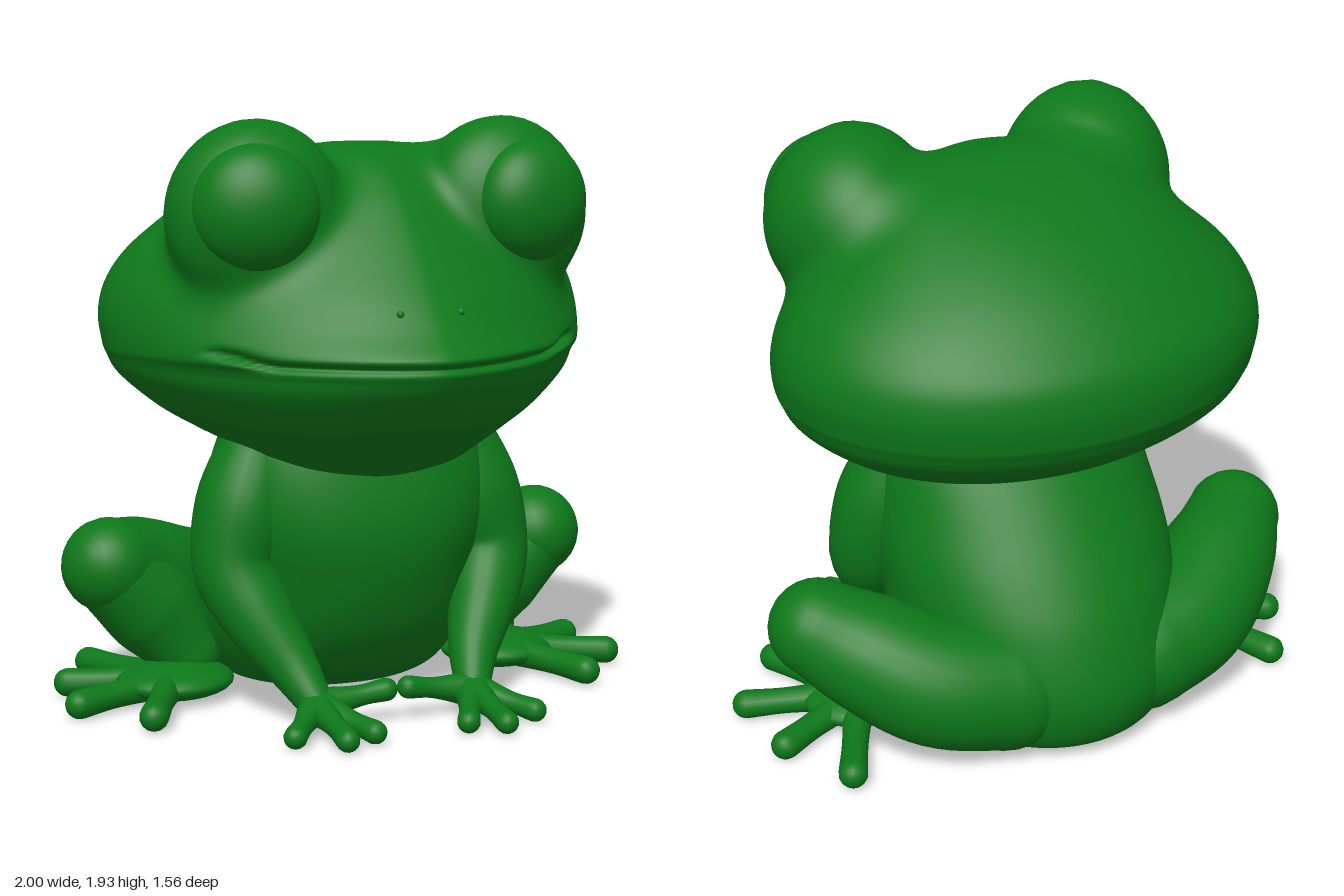
import * as THREE from 'three';

const green = new THREE.MeshStandardMaterial({ color: 0x0d781a });
const V = (x, y, z) => new THREE.Vector3(x, y, z);

// Joins a stack of closed loops into one smooth skin, closing both ends
function skin(rings) {
  const mid = (r) => r.reduce((s, p) => s.add(p), V(0, 0, 0)).divideScalar(r.length);
  const closed = (r) => { const m = mid(r); return r.map(() => m); };
  const all = [closed(rings[0]), ...rings, closed(rings[rings.length - 1])];
  const n = rings[0].length, pos = [], idx = [];
  all.forEach((r) => r.forEach((p) => pos.push(p.x, p.y, p.z)));
  for (let j = 0; j < all.length - 1; j++) {
    for (let i = 0; i < n; i++) {
      const k = (i + 1) % n, a = j * n + i, b = j * n + k;
      idx.push(a, b, b + n, a, b + n, a + n);
    }
  }
  const g = new THREE.BufferGeometry();
  g.setAttribute('position', new THREE.Float32BufferAttribute(pos, 3));
  g.setIndex(idx);
  g.computeVertexNormals();
  return g;
}

// Horizontal loops from rows of [y, halfWidth, zFront, zBack, zWidest]
function loft(rows, power, steps, n, rule = () => {}) {
  const size = new THREE.CatmullRomCurve3(rows.map((r) => V(r[1], r[2], r[3])), false, 'catmullrom');
  const place = new THREE.CatmullRomCurve3(rows.map((r) => V(r[0], r[4], 0)), false, 'catmullrom');
  const count = (rows.length - 1) * steps, rings = [];
  for (let j = 0; j <= count; j++) {
    const s = size.getPoint(j / count), q = place.getPoint(j / count), ring = [];
    for (let i = 0; i < n; i++) {
      const t = (i / n) * Math.PI * 2, c = Math.cos(t), sn = Math.sin(t);
      const e = c > 0 ? 2 / power(q.x) : 1;
      const x = s.x * Math.sign(sn) * Math.abs(sn) ** e;
      const z = q.y + (c > 0 ? (s.y - q.y) * c ** e : (q.y - s.z) * c);
      const p = V(x, q.x, z);
      rule(p);
      ring.push(p);
    }
    rings.push(ring);
  }
  return skin(rings);
}

// Round-ended limb of changing thickness along a smooth path
function limb(points, radii, steps = 20, n = 20) {
  const curve = new THREE.CatmullRomCurve3(points, false, 'catmullrom');
  const rad = new THREE.CatmullRomCurve3(radii.map((r) => V(r, 0, 0)), false, 'catmullrom');
  const frames = { T: [], N: [], B: [] };
  let side = null;
  for (let j = 0; j <= steps; j++) {
    const T = curve.getTangent(j / steps);
    if (!side) side = Math.abs(T.y) < 0.8 ? V(0, 1, 0) : V(1, 0, 0);
    const N = side.clone().addScaledVector(T, -side.dot(T)).normalize();
    frames.T.push(T); frames.N.push(N); frames.B.push(T.clone().cross(N));
    side = N;
  }
  const rings = [];
  const ring = (j, shift, scale) => {
    const r = rad.getPoint(j / steps).x;
    const c = curve.getPoint(j / steps).addScaledVector(frames.T[j], shift * r);
    rings.push(Array.from({ length: n }, (_, i) => {
      const a = (i / n) * Math.PI * 2;
      return c.clone().addScaledVector(frames.N[j], Math.cos(a) * r * scale)
        .addScaledVector(frames.B[j], Math.sin(a) * r * scale);
    }));
  };
  for (let k = 1; k < 7; k++) ring(0, -Math.cos(k * Math.PI / 14), Math.sin(k * Math.PI / 14));
  for (let j = 0; j <= steps; j++) ring(j, 0, 1);
  for (let k = 6; k > 0; k--) ring(steps, Math.cos(k * Math.PI / 14), Math.sin(k * Math.PI / 14));
  return skin(rings);
}

// Presses in the mouth line
function mouth(p) {
  const line = 1.195 + 0.035 * THREE.MathUtils.smoothstep(Math.abs(p.x), 0.45, 0.62);
  const fade = THREE.MathUtils.smoothstep(p.z, 0.33, 0.45);
  const k = 0.045 * fade * Math.exp(-(((p.y - line) / 0.014) ** 2));
  p.x *= 1 - k * 0.6;
  p.z -= k;
}

// Swells the head smoothly out to an egg-shaped brow around each eye
function brow(p) {
  if (p.y < 1.25) return;
  const s = p.x < 0 ? -1 : 1, core = V(s * 0.4, 1.53, 0.14);
  const dir = p.clone().sub(core), head = dir.length();
  dir.normalize();
  let lo = 0, hi = 1;
  for (let i = 0; i < 18; i++) {
    const r = (lo + hi) / 2, q = core.clone().addScaledVector(dir, r), z = q.z - 0.25;
    const inside = Math.hypot((q.x - s * 0.42) / 0.285, (q.y - 1.63) / 0.305, z / (z > 0 ? 0.2 : 0.34)) < 1;
    if (inside) lo = r; else hi = r;
  }
  const blend = 0.1, h = Math.max(blend - Math.abs(head - lo), 0) / blend;
  p.copy(core).addScaledVector(dir, Math.max(head, lo) + h * h * blend / 4);
}

export function createModel() {
  const frog = new THREE.Group();
  frog.name = 'frog';
  const add = (name, geometry, parent = frog) => {
    const m = new THREE.Mesh(geometry, green);
    m.name = name;
    parent.add(m);
    return m;
  };

  // Torso, leaning back onto the ground
  add('torso', loft([
    [0.005, 0.24, -0.08, -0.58, -0.32], [0.03, 0.35, 0.0, -0.68, -0.32], [0.1, 0.42, 0.1, -0.75, -0.3],
    [0.25, 0.47, 0.22, -0.78, -0.25], [0.45, 0.48, 0.3, -0.72, -0.2], [0.6, 0.485, 0.325, -0.635, -0.14],
    [0.75, 0.465, 0.31, -0.53, -0.08], [0.9, 0.43, 0.27, -0.42, -0.05], [1.0, 0.36, 0.2, -0.35, -0.05],
  ], (y) => 2.2 + 0.4 * THREE.MathUtils.smoothstep(y, 0.4, 0.8), 5, 56));

  // Head with a pointed snout, rounder at the throat
  add('head', loft([
    [0.785, 0.08, 0.29, 0.18, 0.25], [0.82, 0.29, 0.36, 0.0, 0.14], [0.88, 0.43, 0.45, -0.3, 0.03],
    [0.93, 0.53, 0.52, -0.45, -0.04], [1.0, 0.645, 0.61, -0.58, -0.08], [1.1, 0.76, 0.71, -0.7, -0.1],
    [1.17, 0.8, 0.755, -0.745, -0.1], [1.21, 0.812, 0.79, -0.758, -0.1], [1.3, 0.82, 0.71, -0.765, -0.11],
    [1.4, 0.795, 0.63, -0.74, -0.11], [1.5, 0.73, 0.545, -0.66, -0.1], [1.6, 0.62, 0.46, -0.555, -0.08],
    [1.7, 0.5, 0.37, -0.41, -0.04], [1.78, 0.39, 0.28, -0.25, 0.0], [1.83, 0.27, 0.19, -0.1, 0.03],
    [1.85, 0.1, 0.08, 0.0, 0.04],
  ], (y) => 1.62 + 1.2 * Math.max(0, 1.15 - y), 9, 160, (p) => { mouth(p); brow(p); }));

  for (const s of [1, -1]) {
    const label = s > 0 ? 'left' : 'right';
    const at = (x, y, z) => V(s * x, y, z);

    // Eyeball, set into the brow
    const eye = add(label + 'Eye', new THREE.SphereGeometry(0.2, 40, 28));
    eye.scale.z = 0.7;
    eye.rotation.y = s * 0.25;
    eye.position.copy(at(0.465, 1.665, 0.37));

    // Nostril
    const nostril = add(label + 'Nostril', new THREE.SphereGeometry(0.012, 12, 8));
    nostril.position.copy(at(0.1, 1.355, 0.65));

    // Front leg and its spread fingers
    const arm = new THREE.Group();
    arm.name = label + 'FrontLeg';
    frog.add(arm);
    add('arm', limb([at(0.34, 0.88, 0.04), at(0.405, 0.68, 0.06), at(0.45, 0.49, 0.09), at(0.4, 0.34, 0.17),
      at(0.32, 0.19, 0.275), at(0.27, 0.075, 0.38)], [0.13, 0.16, 0.138, 0.12, 0.085, 0.055], 30, 24), arm);
    for (const [x, y, z] of [[0.04, 0.11, 0.39], [0.16, 0.04, 0.6], [0.27, 0.04, 0.65], [0.41, 0.04, 0.56]]) {
      const palm = V(0.27, 0.075, 0.37), tip = V(x, y, z);
      const mid = palm.clone().lerp(tip, 0.6);
      add('finger', limb([palm, mid, tip].map((p) => at(p.x, p.y, p.z)), [0.06, 0.035, 0.038], 10, 14), arm);
    }

    // Folded hind leg: thigh, shin, foot and toes
    const leg = new THREE.Group();
    leg.name = label + 'HindLeg';
    frog.add(leg);
    add('thigh', limb([at(0.25, 0.24, -0.52), at(0.47, 0.29, -0.475), at(0.65, 0.38, -0.36), at(0.78, 0.447, -0.24)],
      [0.22, 0.215, 0.195, 0.16], 24, 28), leg);
    add('shin', limb([at(0.75, 0.41, -0.24), at(0.62, 0.27, -0.25), at(0.52, 0.13, -0.21)], [0.15, 0.16, 0.11], 16, 24), leg);
    const foot = add('foot', new THREE.SphereGeometry(1, 28, 18), leg);
    foot.scale.set(0.2, 0.06, 0.18);
    foot.position.copy(at(0.59, 0.066, -0.13));
    for (const [x, z] of [[0.765, 0.22], [0.95, 0], [0.92, -0.27], [0.785, -0.51]]) {
      const root = V(0.6, 0.065, -0.13), tip = V(x, 0.05, z);
      const mid = root.clone().lerp(tip, 0.6);
      add('toe', limb([root, mid, tip].map((p) => at(p.x, p.y, p.z)), [0.06, 0.044, 0.048], 12, 14), leg);
    }
  }
  return frog;
}
